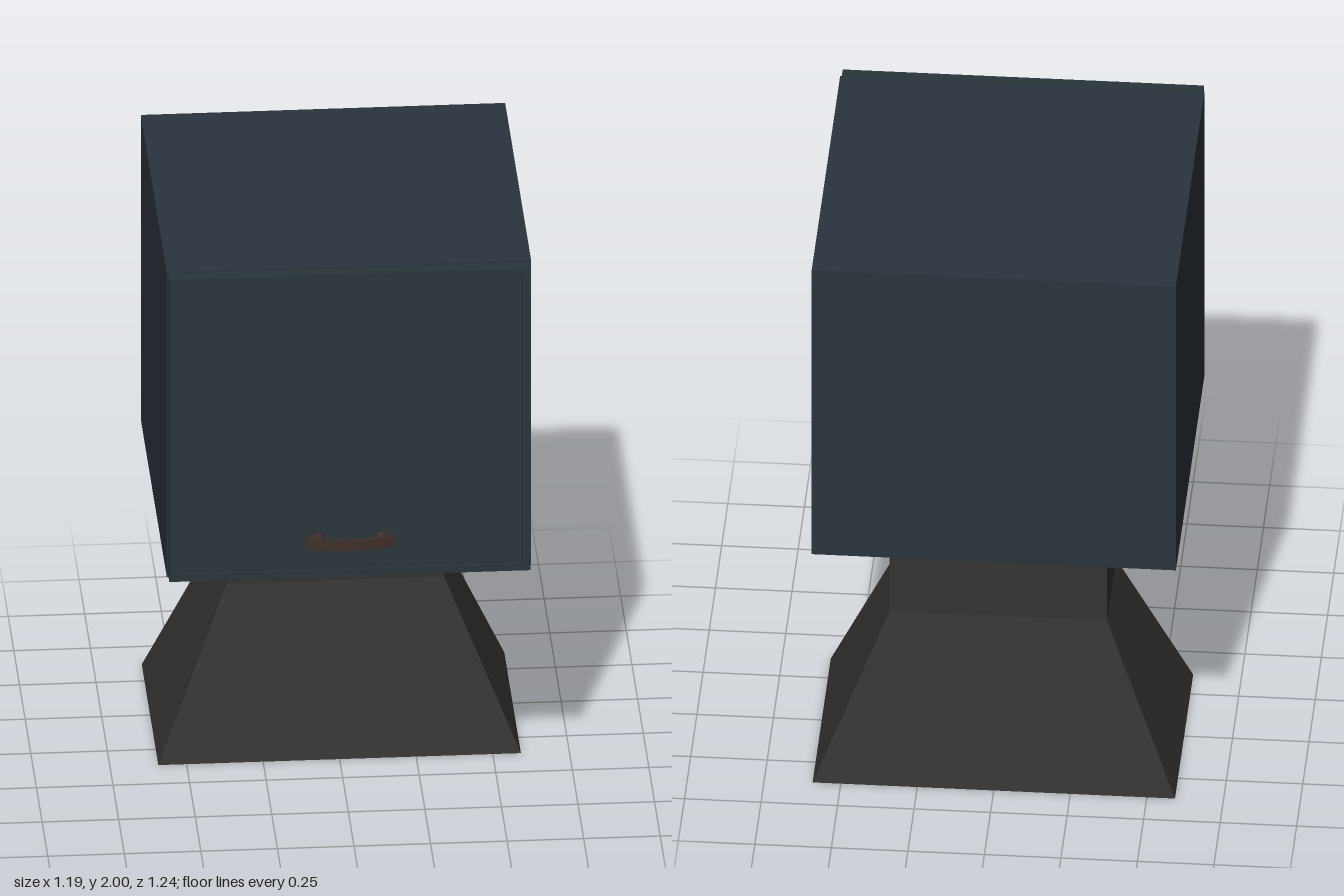
import * as THREE from 'three';

const material = (color) => new THREE.MeshStandardMaterial({ color });
const BODY = material(0x2a333d), DOOR = material(0x29353b);
const STONE = material(0x333331), BRONZE = material(0x40302a);

function add(parent, name, geometry, mat, x = 0, y = 0, z = 0) {
  const mesh = new THREE.Mesh(geometry, mat);
  mesh.name = name;
  mesh.position.set(x, y, z);
  parent.add(mesh);
  return mesh;
}

function rectangle(path, w, h) {
  return path.moveTo(-w / 2, -h / 2).lineTo(w / 2, -h / 2)
    .lineTo(w / 2, h / 2).lineTo(-w / 2, h / 2).closePath();
}

// Rectangular column whose lower section flares out to a wide foot
function pedestalGeometry() {
  const levels = [[0, 0.592, 0.3675], [0.56, 0.355, 0.184], [0.895, 0.355, 0.184]]; // y, half x, half z
  const box = new THREE.BoxGeometry(2, 2, 2, 1, 2, 1);
  const p = box.attributes.position;
  for (let i = 0; i < p.count; i++) {
    const [y, hx, hz] = levels[Math.round(p.getY(i)) + 1];
    p.setXYZ(i, p.getX(i) * hx, y, p.getZ(i) * hz);
  }
  const geometry = box.toNonIndexed();
  geometry.computeVertexNormals();
  return geometry;
}

// Curved flat bar, drawn in plan and extruded upwards
function handleGeometry() {
  const half = 0.147, sag = 0.027, thick = 0.01, n = 16;
  const arc = (t, offset) => new THREE.Vector2(t * half, -(sag * (1 - t * t) + offset));
  const points = [];
  for (let i = 0; i <= n; i++) points.push(arc(-1 + (2 * i) / n, thick));
  for (let i = n; i >= 0; i--) points.push(arc(-1 + (2 * i) / n, 0));
  const geometry = new THREE.ExtrudeGeometry(new THREE.Shape(points), { depth: 0.038, bevelEnabled: false });
  return geometry.rotateX(-Math.PI / 2);
}

export function createModel() {
  const model = new THREE.Group();
  model.name = 'pedestalBox';

  add(model, 'pedestal', pedestalGeometry(), STONE, 0, 0, -0.2525);
  add(model, 'cabinet', new THREE.BoxGeometry(1.19, 1.108, 1.152), BODY, 0, 1.446, -0.046);

  // Door: raised rim around a slightly recessed panel
  const door = new THREE.Group();
  door.name = 'door';
  model.add(door);
  const rim = rectangle(new THREE.Shape(), 1.18, 1.1);
  rim.holes.push(rectangle(new THREE.Path(), 1.128, 1.05));
  add(door, 'doorRim', new THREE.ExtrudeGeometry(rim, { depth: 0.045, bevelEnabled: false }), DOOR, 0, 1.446, 0.53);
  add(door, 'doorPanel', new THREE.BoxGeometry(1.128, 1.05, 0.036), DOOR, 0, 1.446, 0.548);

  // Pull handle on two tapered posts
  const handle = new THREE.Group();
  handle.name = 'handle';
  door.add(handle);
  add(handle, 'handleBar', handleGeometry(), BRONZE, 0, 1.01, 0.584);
  for (const side of [-1, 1]) {
    const post = new THREE.CylinderGeometry(0.012, 0.021, 0.034, 16).rotateX(Math.PI / 2);
    add(handle, 'handlePost', post, BRONZE, side * 0.104, 1.031, 0.582);
  }
  return model;
}
